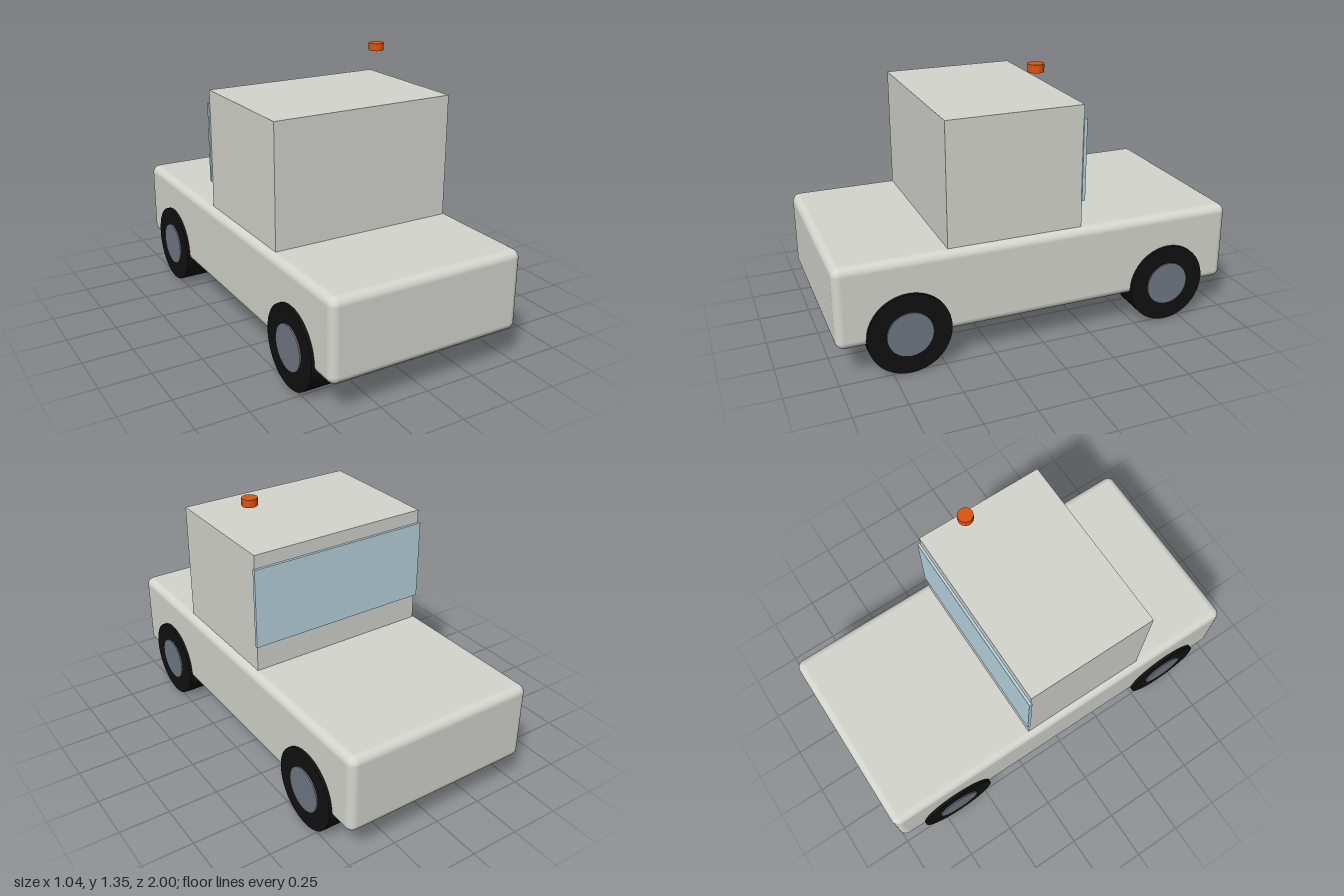
import * as THREE from 'three';
import { RoundedBoxGeometry } from 'three/addons/geometries/RoundedBoxGeometry.js';

const material = (name, color) => {
  const m = new THREE.MeshStandardMaterial({ color });
  m.name = name;
  return m;
};

export function createModel() {
  const model = new THREE.Group();
  model.name = 'vehicle';
  const paint = material('pale grey paint', 0xd6d6d0);
  const rubber = material('black rubber', 0x111111);
  const metal = material('hub grey', 0x717884);
  const glass = material('blue glass', 0xb9d6e0);
  const orange = material('beacon orange', 0xdd5510);

  const add = (parent, name, geometry, mat, x = 0, y = 0, z = 0) => {
    const mesh = new THREE.Mesh(geometry, mat);
    mesh.name = name;
    mesh.position.set(x, y, z);
    parent.add(mesh);
    return mesh;
  };

  // Rounded lower body with a plain square cabin on top
  add(model, 'body', new RoundedBoxGeometry(1, 0.4, 2, 4, 0.04), paint, 0, 0.367, 0);
  add(model, 'cabin', new THREE.BoxGeometry(0.933, 0.6, 0.667), paint, 0, 0.867, 0.133);

  // Rear window, slightly wider than the cabin
  add(model, 'rearWindow', new THREE.BoxGeometry(0.947, 0.4, 0.016), glass, 0, 0.9, -0.205);

  // Warning beacon, set above the roof on the left
  const beacon = new THREE.CylinderGeometry(0.038, 0.038, 0.037, 12).toNonIndexed();
  beacon.computeVertexNormals();
  add(model, 'beacon', beacon, orange, 0.365, 1.333, 0);

  // Four wheels, each a tyre with a hub showing on both sides
  const tyre = new THREE.CylinderGeometry(0.2, 0.2, 0.167, 40).rotateZ(Math.PI / 2);
  const hub = new THREE.CylinderGeometry(0.11, 0.11, 0.18, 32).rotateZ(Math.PI / 2);
  for (const [end, z] of [['front', 0.667], ['rear', -0.667]]) {
    for (const [side, x] of [['Left', 0.431], ['Right', -0.431]]) {
      const wheel = new THREE.Group();
      wheel.name = `${end}${side}Wheel`;
      wheel.position.set(x, 0.2, z);
      add(wheel, 'tyre', tyre, rubber);
      add(wheel, 'hub', hub, metal);
      model.add(wheel);
    }
  }

  return model;
}
